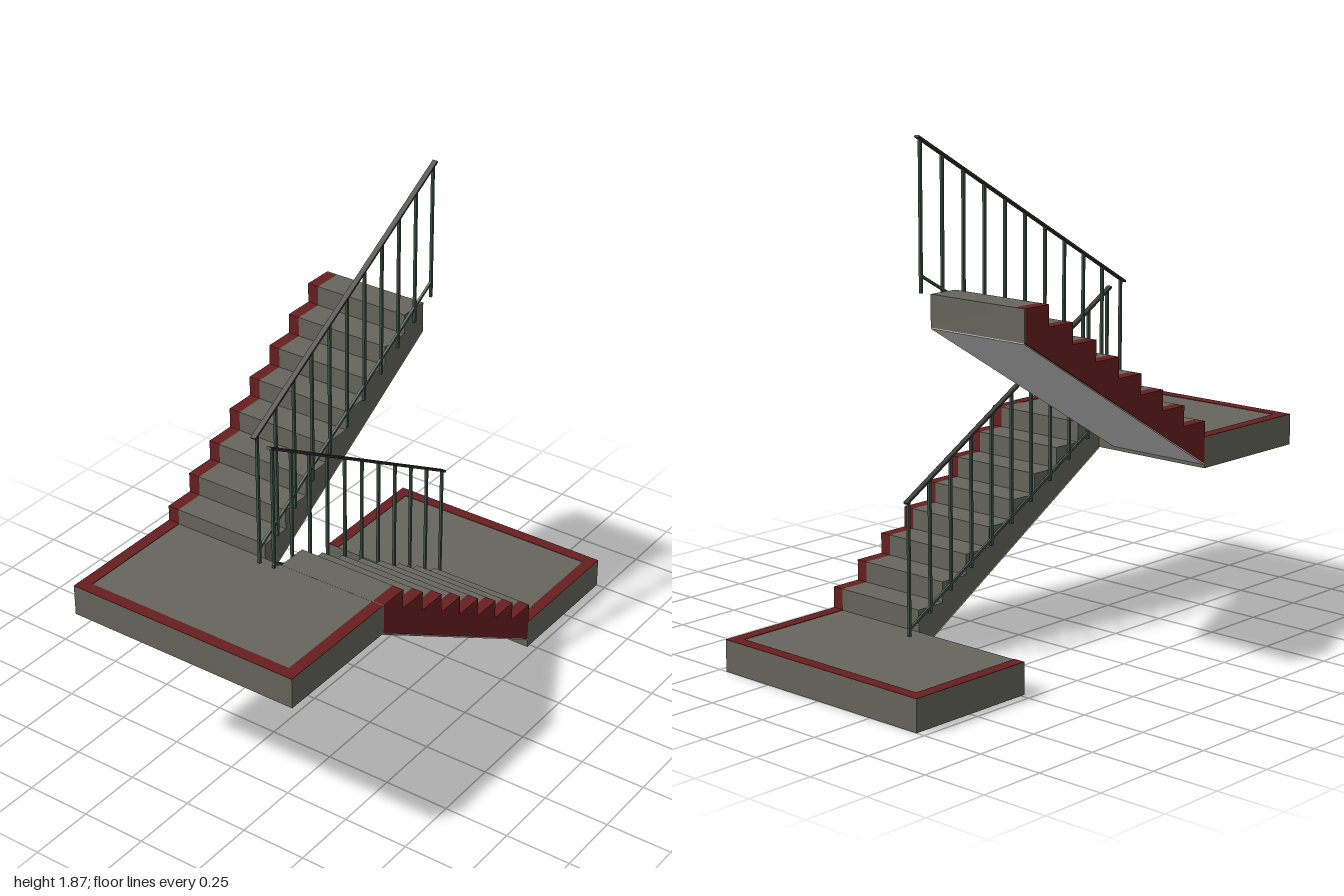
import * as THREE from 'three';

const mat = (name, color) => new THREE.MeshStandardMaterial({ name, color });

export function createModel() {
  const concrete = mat('concrete', 0x66665d);
  const red = mat('redTrim', 0x681f20);
  const plaster = mat('plaster', 0xd0d0d0);
  const green = mat('greenMetal', 0x3a5042);
  const dark = mat('darkHandrail', 0x352e2f);

  const E = 0.483, END = 1, HALF = 0.466, INNER = 0.035, TRIM = 0.045;
  const STEPS = 8, RUN = (2 * E) / STEPS, RISE = 0.0765;

  function add(parent, name, geometry, material) {
    const mesh = new THREE.Mesh(geometry, material);
    mesh.name = name;
    parent.add(mesh);
    return mesh;
  }
  // Box given by its two opposite corners
  function box(parent, name, material, x0, x1, y0, y1, z0, z1) {
    const m = add(parent, name, new THREE.BoxGeometry(x1 - x0, y1 - y0, z1 - z0), material);
    m.position.set((x0 + x1) / 2, (y0 + y1) / 2, (z0 + z1) / 2);
    return m;
  }
  // Square bar between two points of a plane of constant z
  function bar(parent, name, material, x0, y0, x1, y1, z, high, wide) {
    const len = Math.hypot(x1 - x0, y1 - y0);
    const m = add(parent, name, new THREE.BoxGeometry(len, high, wide), material);
    m.position.set((x0 + x1) / 2, (y0 + y1) / 2, z);
    m.rotation.z = Math.atan2(y1 - y0, x1 - x0);
  }
  // Rectangular ring lying flat, from outer inset a to inner inset b
  function ring(parent, name, material, a, b, height) {
    const rect = (T, i) => {
      const s = new T();
      const x0 = E + Math.min(i, 0.02), x1 = END - i, z = HALF - i;
      s.moveTo(x0, -z); s.lineTo(x1, -z); s.lineTo(x1, z); s.lineTo(x0, z); s.closePath();
      return s;
    };
    const shape = rect(THREE.Shape, a);
    shape.holes.push(rect(THREE.Path, b));
    const g = new THREE.ExtrudeGeometry(shape, { depth: height, bevelEnabled: false });
    g.rotateX(-Math.PI / 2);
    add(parent, name, g, material);
  }

  // Landing with a recessed soffit and red edging on three sides
  function landing(name) {
    const g = new THREE.Group();
    g.name = name;
    const top = 0.115, recess = 0.055;
    box(g, 'landingSlab', concrete, E, END, recess, top, -HALF, HALF);
    ring(g, 'landingRim', concrete, 0, 0.008, recess);
    ring(g, 'soffitRim', plaster, 0.008, TRIM, recess);
    box(g, 'soffitPanel', plaster, E + 0.02, END - TRIM, recess - 0.004, recess, -HALF + TRIM, HALF - TRIM);
    const t = top + 0.002;
    box(g, 'endEdging', red, END - TRIM, END, top, t, -HALF, HALF);
    for (const s of [-1, 1]) {
      const z = s * (HALF - TRIM / 2);
      box(g, 'sideEdging', red, E, END - TRIM, top, t, z - TRIM / 2, z + TRIM / 2);
    }
    return g;
  }

  // Stepped side outline, climbing towards -x
  function flightShape(trimEnd) {
    const s = new THREE.Shape();
    s.moveTo(E, 0.037);
    for (let i = 0; i < STEPS; i++) {
      const y = 0.195 + i * RISE;
      s.lineTo(E - i * RUN, y);
      s.lineTo(i === STEPS - 1 ? -E + trimEnd : E - (i + 1) * RUN, y);
    }
    s.lineTo(-E + trimEnd, 0.615);
    s.closePath();
    return s;
  }
  function flight(name) {
    const g = new THREE.Group();
    g.name = name;
    const slab = (part, m, z0, z1, trimEnd) => {
      const geo = new THREE.ExtrudeGeometry(flightShape(trimEnd), { depth: z1 - z0, bevelEnabled: false });
      add(g, part, geo, m).position.z = z0;
    };
    slab('steps', concrete, INNER, HALF - TRIM, 0);
    slab('stringer', red, HALF - TRIM, HALF, 0.005);
    // Concrete end of the stringer
    box(g, 'stringerEnd', concrete, -E, -E + 0.005, 0.615, 0.195 + 7 * RISE, HALF - TRIM, HALF);
    // Plastered underside
    const s = new THREE.Shape();
    s.moveTo(E, 0.037); s.lineTo(-E, 0.615); s.lineTo(-E, 0.611); s.lineTo(E, 0.033);
    s.closePath();
    const geo = new THREE.ExtrudeGeometry(s, { depth: HALF - INNER, bevelEnabled: false });
    add(g, 'flightSoffit', geo, plaster).position.z = INNER;
    return g;
  }

  // Railing: handrail, lower rail and eleven posts
  function railing(name, z, hand, low, x0, x1, drop) {
    const g = new THREE.Group();
    g.name = name;
    const at = (l, x) => l[1] + ((l[3] - l[1]) * (x - l[0])) / (l[2] - l[0]);
    bar(g, 'handrail', dark, ...hand, z, 0.008, 0.02);
    bar(g, 'lowerRail', green, ...low, z, 0.009, 0.009);
    for (let i = 0; i <= 10; i++) {
      const x = x0 + ((x1 - x0) * i) / 10;
      box(g, 'post', green, x - 0.005, x + 0.005, at(low, x) - drop, at(hand, x), z - 0.005, z + 0.005);
    }
    return g;
  }

  const model = new THREE.Group();
  model.name = 'staircase';

  const upperLanding = landing('upperLanding');
  upperLanding.rotation.y = Math.PI;
  upperLanding.position.y = 0.615;
  const upperFlight = flight('upperFlight');
  upperFlight.rotation.y = Math.PI;
  upperFlight.position.y = 0.595;

  model.add(
    landing('lowerLanding'), upperLanding,
    flight('lowerFlight'), upperFlight,
    railing('lowerRailing', 0.024, [-0.525, 1.22, 0.553, 0.595], [-0.515, 0.75, 0.54, 0.14], -0.51, 0.54, 0.025),
    railing('upperRailing', -0.031, [-0.54, 1.245, 0.54, 1.866], [-0.52, 0.795, 0.528, 1.395], -0.52, 0.525, 0.06)
  );
  return model;
}
